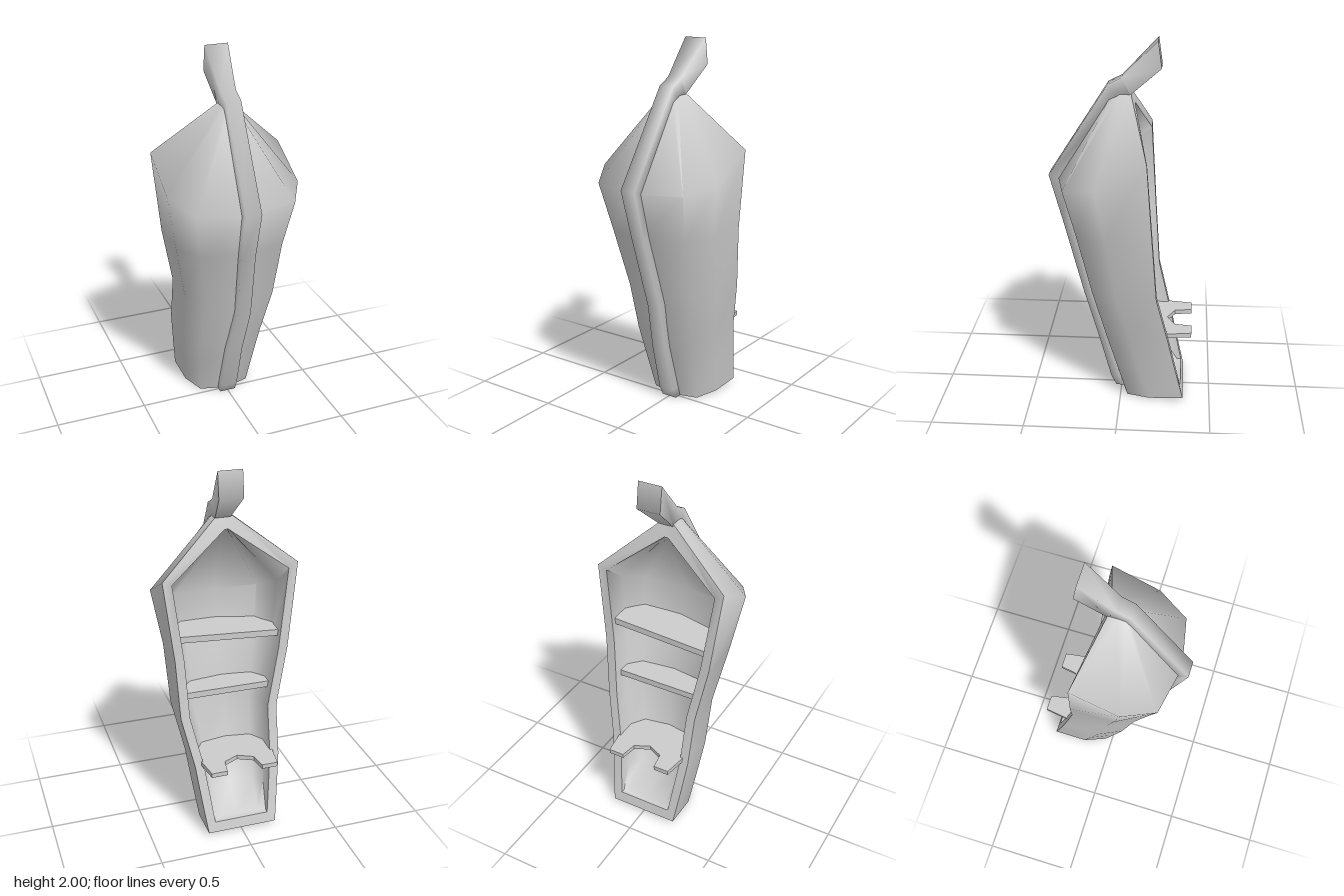
import * as THREE from 'three';
import { toCreasedNormals } from 'three/addons/utils/BufferGeometryUtils.js';

const grey = new THREE.MeshStandardMaterial({ color: 0xcccccc });
const WALL = 0.05;

// Hull stations: height, half width at -x and +x, back rim z, front z, cavity front z
const stations = [
  [0, 0.195, 0.192, -0.352, 0, -0.37],
  [0.2, 0.218, 0.216, -0.308, 0.06, -0.15],
  [0.4, 0.24, 0.24, -0.263, 0.12, -0.045],
  [0.67, 0.245, 0.297, -0.2, 0.19, -0.01],
  [1.0, 0.31, 0.315, -0.175, 0.277, 0.06],
  [1.25, 0.367, 0.365, -0.145, 0.345, 0.15],
  [1.73, 0.03, 0.045, -0.045, 0.055, -0.02],
];
const SHOULDER = 5, TOP = 6;

// Seven points from the -x rim round the front to the +x rim
function section([y, wl, wr, back, front], rise = [0, 0, 0, 0, 0, 0, 0]) {
  const k = [-wl, -wl, -wl * 0.74, 0, wr * 0.74, wr, wr];
  const t = [0, 0.54, 0.89, 1, 0.89, 0.54, 0];
  return k.map((x, i) => new THREE.Vector3(x, y + rise[i], back + (front - back) * t[i]));
}

// Section of the cavity, which is shallower than the hull
const cavity = ([y, wl, wr, back, , front], wall, rise) =>
  section([y, wl - wall, wr - wall, back, front + WALL - wall], rise);

function stationAt(y) {
  const i = stations.findIndex((s) => s[0] > y) - 1;
  const a = stations[i], b = stations[i + 1], t = (y - a[0]) / (b[0] - a[0]);
  return a.map((v, n) => v + (b[n] - v) * t);
}

// Collects triangles and quads into a geometry
function faceBuilder() {
  const pts = [];
  return {
    quad: (a, b, c, d) => pts.push(a, b, c, a, c, d),
    // Skins consecutive closed loops
    loft(loops) {
      for (let i = 0; i + 1 < loops.length; i++) {
        const a = loops[i], b = loops[i + 1];
        a.forEach((p, j) => {
          const n = (j + 1) % a.length;
          this.quad(p, a[n], b[n], b[j]);
        });
      }
    },
    fan(loop, flip) {
      for (let j = 1; j + 1 < loop.length; j++) {
        if (flip) pts.push(loop[0], loop[j + 1], loop[j]);
        else pts.push(loop[0], loop[j], loop[j + 1]);
      }
    },
    build: (crease) => toCreasedNormals(new THREE.BufferGeometry().setFromPoints(pts), crease),
  };
}

function add(group, name, geometry) {
  const mesh = new THREE.Mesh(geometry, grey);
  mesh.name = name;
  group.add(mesh);
}

// Thick shell, open at the back, with a scooped cavity and a pointed top
function hullGeometry() {
  const outerRise = {
    0: [0.015, 0.01, 0, 0, 0, 0.01, 0.015],
    [SHOULDER]: [0.22, 0.07, 0.01, 0, 0.01, 0.05, 0.19],
  };
  const outer = stations.map((s, i) => section(s, outerRise[i]));
  const inner = stations.map((s, i) => {
    if (i === 0) return cavity(stationAt(0.07), WALL);
    if (i === TOP) return section([1.66, 0.01, 0.01, -0.068, -0.04]);
    return cavity(s, WALL, i === SHOULDER ? [0.19, 0.06, 0.01, 0, 0.01, 0.05, 0.17] : undefined);
  });
  const f = faceBuilder();
  f.loft(outer.map((o, i) => [...o, ...inner[i].slice().reverse()]));
  f.fan(outer[0], true);
  f.fan(inner[0], false);
  f.quad(outer[0][0], inner[0][0], inner[0][6], outer[0][6]);
  f.fan(outer[TOP], false);
  f.fan(inner[TOP], true);
  f.quad(inner[TOP][0], outer[TOP][0], outer[TOP][6], inner[TOP][6]);
  return f.build(1.2);
}

// Keel strip running up the front and out into the neck:
// left x, right x, front z, front y, back z, back y
function keelGeometry() {
  const rows = [
    [-0.045, 0.045, 0.03, 0, -0.03, 0],
    [-0.045, 0.045, 0.06, 0.06, -0.01, 0.06],
    [-0.04, 0.045, 0.133, 0.33, 0.07, 0.34],
    [-0.015, 0.065, 0.207, 0.6, 0.15, 0.61],
    [-0.036, 0.042, 0.316, 1.0, 0.25, 1.0],
    [-0.045, 0.042, 0.39, 1.27, 0.31, 1.25],
    [-0.028, 0.055, 0.073, 1.768, 0.02, 1.69],
    [-0.028, 0.055, 0, 1.805, -0.045, 1.715],
    [-0.045, 0.085, -0.185, 2, -0.205, 1.86],
  ];
  const loops = rows.map(([l, r, fz, fy, bz, by]) => [
    new THREE.Vector3(l, by, bz), new THREE.Vector3(l, fy, fz),
    new THREE.Vector3(r, fy, fz), new THREE.Vector3(r, by, bz),
  ]);
  const f = faceBuilder();
  f.loft(loops);
  f.fan(loops[0], true);
  f.fan(loops[loops.length - 1], false);
  return f.build(1.6);
}

// Plate fitted to the inside of the hull, with a given back edge and sideways tilt
function shelfGeometry(y, thickness, backZ, tilt = 0, backEdge = []) {
  const pts = cavity(stationAt(y), 0.035).map((p) => [p.x, p.z]);
  pts[0][1] = pts[6][1] = backZ;
  const shape = new THREE.Shape([...pts, ...backEdge].map(([x, z]) => new THREE.Vector2(x, -z)));
  const g = new THREE.ExtrudeGeometry(shape, { depth: thickness, bevelEnabled: false });
  return g.rotateX(-Math.PI / 2).rotateZ(tilt).translate(0, y, 0);
}

export function createModel() {
  const group = new THREE.Group();
  group.name = 'boatShelf';
  add(group, 'hull', hullGeometry());
  add(group, 'keelAndNeck', keelGeometry());
  add(group, 'upperShelf', shelfGeometry(1.07, 0.035, -0.133, 0.06));
  add(group, 'middleShelf', shelfGeometry(0.755, 0.035, -0.14));

  // Lower shelf with two prongs and a notch between them
  const prong = [[0.185, -0.39], [0.098, -0.39], [0.083, -0.297]];
  const mirrored = prong.map(([x, z]) => [-x, z]).reverse();
  add(group, 'prongedShelf', shelfGeometry(0.4, 0.025, -0.255, 0, [...prong, [0, -0.256], ...mirrored]));
  return group;
}
